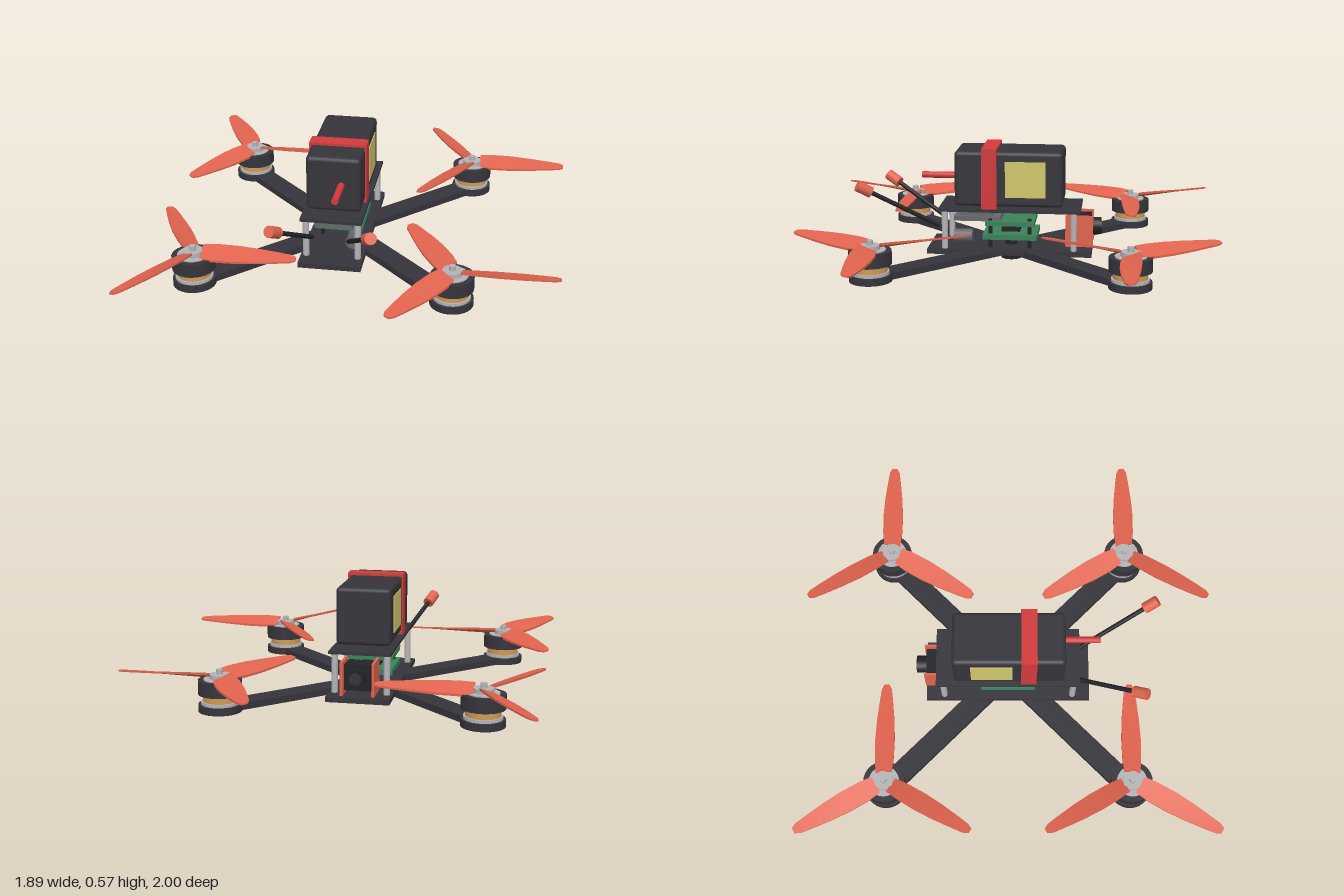
import * as THREE from 'three';
import { RoundedBoxGeometry } from 'three/addons/geometries/RoundedBoxGeometry.js';

const mat = (name, color) => {
  const m = new THREE.MeshStandardMaterial({ color });
  m.name = name;
  return m;
};

export function createModel() {
  const carbon = mat('carbon grey', 0x35343b);
  const black = mat('black', 0x232328);
  const coral = mat('coral', 0xe0634e);
  const red = mat('strap red', 0xd23a3c);
  const yellow = mat('label yellow', 0xcfc76c);
  const green = mat('board green', 0x3a8259);
  const copper = mat('copper', 0xcf9a55);
  const silver = mat('silver', 0xb4b4b6);
  const grey = mat('mid grey', 0x66666c);

  const root = new THREE.Group();
  root.name = 'quadcopter';
  // everything is laid out around the frame centre, then shifted
  const craft = new THREE.Group();
  craft.name = 'craft';
  craft.position.x = -0.113;
  root.add(craft);

  const add = (name, geo, m, x = 0, y = 0, z = 0, parent = craft) => {
    const mesh = new THREE.Mesh(geo, m);
    mesh.name = name;
    mesh.position.set(x, y, z);
    parent.add(mesh);
    return mesh;
  };
  const box = (name, m, w, h, d, x, y, z, parent) =>
    add(name, new THREE.BoxGeometry(w, h, d), m, x, y, z, parent);
  // upright cylinder between two heights
  const disc = (name, m, r, y0, y1, x, z, parent) =>
    add(name, new THREE.CylinderGeometry(r, r, y1 - y0, 28), m, x, (y0 + y1) / 2, z, parent);
  // rod between two points
  const rod = (name, m, r, a, b) => {
    const dir = b.clone().sub(a);
    const mid = a.clone().add(b).multiplyScalar(0.5);
    const mesh = add(name, new THREE.CylinderGeometry(r, r, dir.length(), 16), m, mid.x, mid.y, mid.z);
    mesh.quaternion.setFromUnitVectors(new THREE.Vector3(0, 1, 0), dir.normalize());
    return mesh;
  };

  // tapered, pitched blade pointing along +x
  const stations = [[0.04, 0.078], [0.1, 0.092], [0.2, 0.096], [0.3, 0.084], [0.4, 0.062], [0.45, 0.048], [0.472, 0.024]];
  const bladeGeometry = (hand) => {
    const geo = new THREE.BoxGeometry(stations.length - 1, 0.012, 1, stations.length - 1, 1, 2);
    const p = geo.attributes.position;
    for (let i = 0; i < p.count; i++) {
      const k = Math.round(p.getX(i) + (stations.length - 1) / 2);
      const [r, width] = stations[k];
      const z = p.getZ(i) * width;
      const pitch = hand * (0.4 - 0.22 * (r / 0.47));
      p.setXYZ(i, r, p.getY(i) * (1 - 0.4 * r / 0.47) + z * Math.tan(pitch), z);
    }
    geo.computeVertexNormals();
    return geo;
  };

  // frame plates and centre bolt
  box('bottomPlate', carbon, 0.296, 0.025, 0.8, 0, 0.058, 0);
  box('topPlate', carbon, 0.29, 0.014, 0.69, 0, 0.264, 0);
  disc('centreFoot', black, 0.05, 0, 0.045, 0, 0);
  disc('centreBolt', black, 0.03, 0.04, 0.092, 0, 0);

  // arms, motors, propellers
  const M = 0.585;
  for (const sx of [-1, 1]) for (const sz of [-1, 1]) {
    const reach = M * Math.SQRT2;
    const arm = box('arm', carbon, reach, 0.032, 0.105, sx * M / 2, 0.051, sz * M / 2);
    arm.rotation.y = -Math.atan2(sz, sx);

    const motor = new THREE.Group();
    motor.name = 'motor';
    motor.position.set(sx * M, 0, sz * M);
    craft.add(motor);
    disc('motorPad', carbon, 0.098, 0.035, 0.068, 0, 0, motor);
    disc('motorBase', silver, 0.086, 0.068, 0.082, 0, 0, motor);
    disc('motorWinding', copper, 0.078, 0.082, 0.114, 0, 0, motor);
    disc('motorBell', carbon, 0.098, 0.114, 0.178, 0, 0, motor);
    disc('bellCap', silver, 0.072, 0.178, 0.183, 0, 0, motor);
    disc('propellerHub', silver, 0.045, 0.183, 0.203, 0, 0, motor);
    disc('motorShaft', silver, 0.015, 0.2, 0.225, 0, 0, motor);
    const geo = bladeGeometry(sx * sz);
    for (let i = 0; i < 3; i++) {
      add('propellerBlade', geo, coral, 0, 0.194, 0, motor).rotation.y = i * Math.PI * 2 / 3;
    }
  }

  // standoffs between the plates
  for (const sx of [-1, 1]) for (const z of [-0.312, 0.315]) {
    disc('standoff', silver, 0.015, 0.068, 0.26, sx * 0.122, z);
  }

  // electronics stack
  box('lowerBoard', green, 0.23, 0.025, 0.265, 0, 0.127, 0);
  box('upperBoard', green, 0.23, 0.022, 0.24, 0, 0.194, 0);
  for (const sx of [-1, 1]) for (const sz of [-1, 1]) {
    disc('boardPost', black, 0.01, 0.068, 0.215, sx * 0.085, sz * 0.095);
  }
  box('boardChip', black, 0.09, 0.02, 0.09, 0, 0.15, 0);
  box('transmitter', grey, 0.18, 0.024, 0.23, 0, 0.212, 0.16);
  box('transmitterCover', grey, 0.14, 0.02, 0.16, 0, 0.233, 0.165);
  const cap = disc('capacitor', grey, 0.033, 0, 0.09, 0, 0);
  cap.rotation.x = Math.PI / 2;
  cap.position.set(0.09, 0.127, 0.227);

  // camera at the back with side brackets
  for (const sx of [-1, 1]) {
    box('cameraBracket', coral, 0.013, 0.155, 0.135, sx * 0.073, 0.157, -0.337);
  }
  box('cameraBody', black, 0.12, 0.12, 0.1, 0, 0.165, -0.345);
  const lens = disc('cameraLens', black, 0.042, 0, 0.06, 0, 0);
  lens.rotation.x = Math.PI / 2;
  lens.position.set(0, 0.17, -0.413);
  const glass = disc('lensGlass', carbon, 0.028, 0, 0.004, 0, 0);
  glass.rotation.x = Math.PI / 2;
  glass.position.set(0, 0.17, -0.444);

  // battery with labels, strap and lead
  add('battery', new RoundedBoxGeometry(0.256, 0.27, 0.525, 2, 0.02), carbon, 0, 0.416, 0.004);
  for (const sx of [-1, 1]) {
    box('batteryLabel', yellow, 0.006, 0.175, 0.195, sx * 0.129, 0.417, -0.077);
    box('strapSide', red, 0.008, 0.295, 0.074, sx * 0.131, 0.418, 0.098);
  }
  for (const y of [0.276, 0.56]) {
    box('strapBand', red, 0.27, 0.012, 0.074, 0, y, 0.098);
  }
  rod('batteryLead', red, 0.016, new THREE.Vector3(0.038, 0.417, 0.26), new THREE.Vector3(0.038, 0.417, 0.435));

  // antennas leaning out at the front
  const antennas = [
    [new THREE.Vector3(-0.085, 0.185, 0.35), new THREE.Vector3(-0.213, 0.362, 0.655)],
    [new THREE.Vector3(0.085, 0.175, 0.35), new THREE.Vector3(0.244, 0.398, 0.715)],
  ];
  for (const [a, b] of antennas) {
    const neck = b.clone().lerp(a, 0.075 / a.distanceTo(b));
    rod('antennaRod', black, 0.011, a, neck);
    rod('antennaTip', coral, 0.027, neck, b);
  }
  return root;
}
